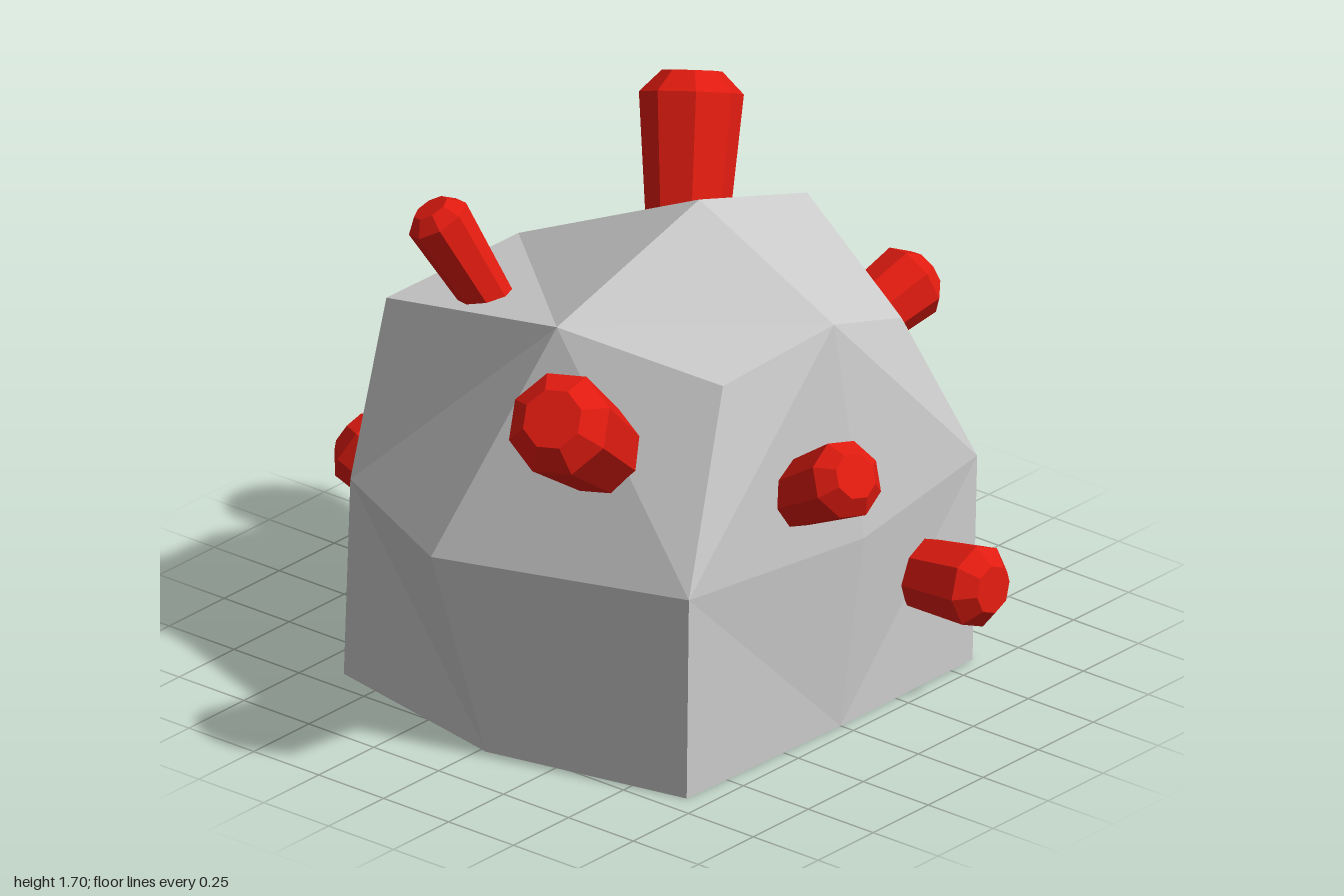
import * as THREE from 'three';

// Rings run front, front-left, left, back-left, back, back-right, right, front-right (model's own sides)
const BOTTOM = [[0, 0, 0.7], [0.6, 0, 0.7], [0.655, 0, 0.02], [0.69, 0, -0.62],
  [0, 0, -0.79], [-0.67, 0, -0.645], [-0.81, 0, 0.02], [-0.675, 0, 0.68]];
const MIDDLE = [[0.06, 0.6, 0.74], [0.645, 0.64, 0.68], [0.85, 0.64, -0.02], [0.65, 0.64, -0.62],
  [0, 0.64, -0.63], [-0.67, 0.64, -0.62], [-0.87, 0.605, -0.14], [-0.665, 0.64, 0.68]];
const UPPER = [[0, 1.295, 0.675], [0.425, 1.135, 0.575], [0.645, 1.295, 0.025], [0.57, 1.08, -0.415],
  [0.07, 1.18, -0.6], [-0.465, 1.145, -0.655], [-0.54, 1.295, 0.065], [-0.38, 1.2, 0.57]];
const PEAK = [0.055, 1.51, 0.11];

// Faceted boulder: two bands of quads, a peaked top and a flat base
function makeRock(material) {
  const pos = [];
  const tri = (...corners) => corners.forEach((p) => pos.push(...p));
  const band = (low, high, flip) => {
    for (let i = 0; i < 8; i++) {
      const j = (i + 1) % 8;
      const [a, b, c, d] = [low[i], low[j], high[j], high[i]];
      if ((i % 2 === 0) === flip) {
        tri(a, b, c);
        tri(a, c, d);
      } else {
        tri(a, b, d);
        tri(b, c, d);
      }
    }
  };
  band(BOTTOM, MIDDLE, true);
  band(MIDDLE, UPPER, false);
  for (let k = 0; k < 8; k += 2) {
    const next = UPPER[(k + 2) % 8];
    tri(UPPER[k], UPPER[k + 1], next);
    tri(UPPER[k], next, PEAK);
  }
  for (let i = 0; i < 8; i++) tri([0, 0, 0], BOTTOM[(i + 1) % 8], BOTTOM[i]);

  const geometry = new THREE.BufferGeometry();
  geometry.setAttribute('position', new THREE.Float32BufferAttribute(pos, 3));
  geometry.computeVertexNormals();
  const rock = new THREE.Mesh(geometry, material);
  rock.name = 'rock';
  return rock;
}

// Octagonal peg widening outwards, with a bevelled tip; its root is sunk into the rock
function makePeg({ name, base, shoulder, r }, material) {
  const start = new THREE.Vector3(...base);
  const axis = new THREE.Vector3(...shoulder).sub(start);
  const length = axis.length();
  axis.normalize();
  const bevel = 0.42 * r;
  const profile = [[0, -0.08], [0.76 * r, -0.08], [r, length], [0.58 * r, length + bevel], [0, length + bevel]]
    .map(([x, y]) => new THREE.Vector2(x, y));
  const peg = new THREE.Mesh(new THREE.LatheGeometry(profile, 8), material);
  peg.position.copy(start);
  peg.quaternion.setFromUnitVectors(new THREE.Vector3(0, 1, 0), axis);
  peg.name = name;
  return peg;
}

const PEGS = [
  { name: 'largeRightPeg', base: [-0.56, 0.95, 0.27], shoulder: [-0.9, 1.206, 0.38], r: 0.16 },
  { name: 'largeTopPeg', base: [0.32, 1.27, -0.16], shoulder: [0.455, 1.6, -0.26], r: 0.155 },
  { name: 'smallTopPeg', base: [-0.38, 1.24, -0.365], shoulder: [-0.463, 1.46, -0.46], r: 0.097 },
  { name: 'upperFrontPeg', base: [-0.17, 0.79, 0.65], shoulder: [-0.23, 0.95, 0.92], r: 0.12 },
  { name: 'lowerFrontPeg', base: [0.39, 0.345, 0.6], shoulder: [0.39, 0.375, 0.905], r: 0.127 },
  { name: 'leftPeg', base: [0.65, 0.85, 0.135], shoulder: [0.93, 0.96, 0.19], r: 0.117 },
  { name: 'backPeg', base: [-0.25, 0.36, -0.59], shoulder: [-0.267, 0.526, -0.905], r: 0.13 },
];

export function createModel() {
  const grey = new THREE.MeshStandardMaterial({ color: 0xcccccc, flatShading: true });
  const red = new THREE.MeshStandardMaterial({ color: 0xe01b10, flatShading: true });
  const model = new THREE.Group();
  model.name = 'studdedRock';
  model.add(makeRock(grey));
  for (const peg of PEGS) model.add(makePeg(peg, red));
  return model;
}
